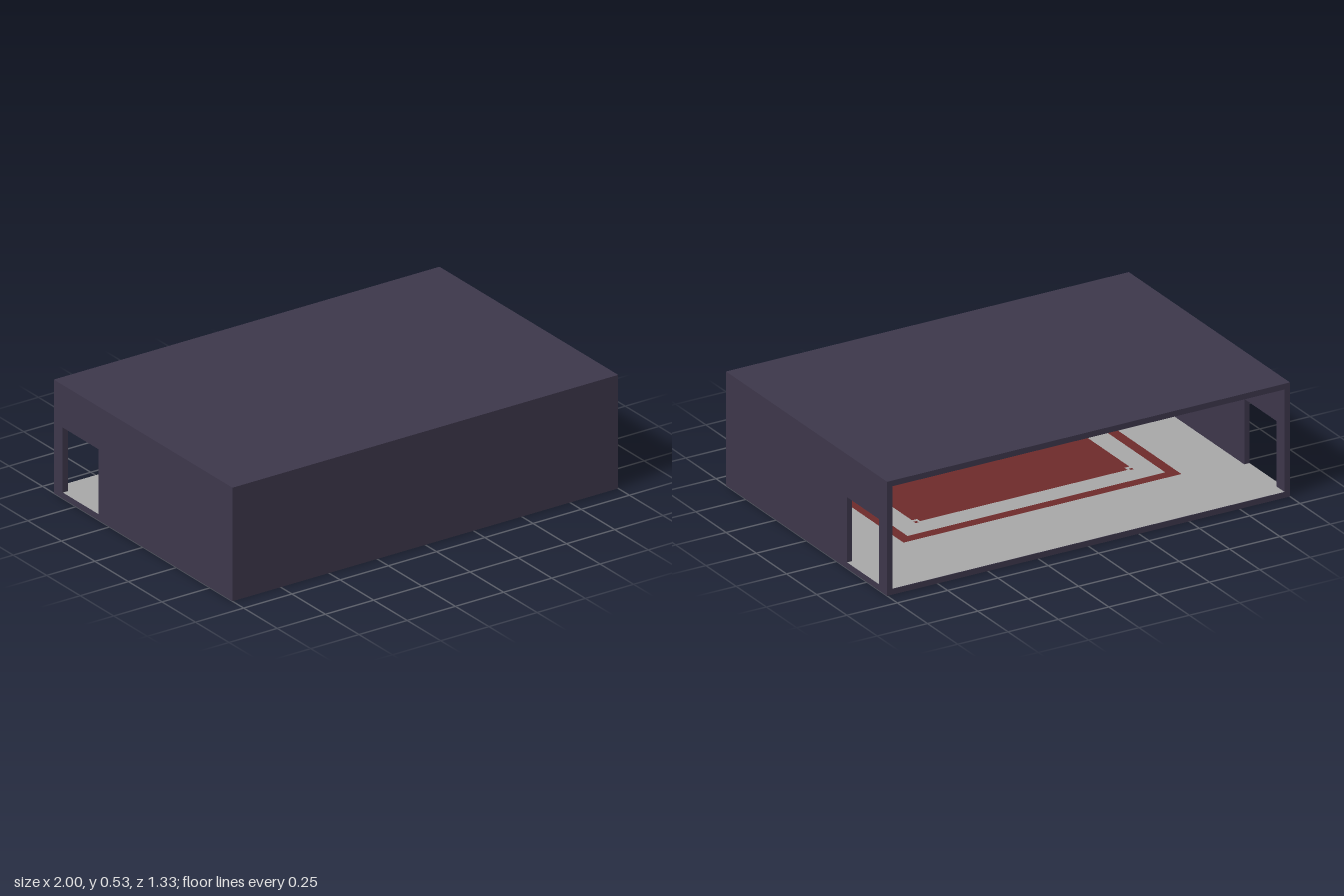
import * as THREE from 'three';

const W = 2, D = 1.333, H = 0.533, T = 0.0267; // outer size and wall thickness

function mat(name, color, side = THREE.FrontSide) {
  const m = new THREE.MeshStandardMaterial({ color, side });
  m.name = name;
  return m;
}

// Closed outline, or hole, from opposite corners
function rect(Type, x0, y0, x1, y1) {
  return new Type([[x0, y0], [x1, y0], [x1, y1], [x0, y1]].map(([x, y]) => new THREE.Vector2(x, y)));
}

export function createModel() {
  const room = new THREE.Group();
  room.name = 'room';
  const wall = mat('dark plum', 0x3d374b);
  const grey = mat('floor grey', 0xa8a8a8, THREE.DoubleSide);
  const red = mat('carpet red', 0x6e2b2b, THREE.DoubleSide);

  function add(name, geometry, material, x = 0, y = 0, z = 0) {
    const mesh = new THREE.Mesh(geometry, material);
    mesh.name = name;
    mesh.position.set(x, y, z);
    room.add(mesh);
    return mesh;
  }
  // Flat sheet lying on the floor; shape y points to the back
  const sheet = (name, shapes, material, y) =>
    add(name, new THREE.ShapeGeometry(shapes).rotateX(-Math.PI / 2), material, 0, y);

  // Shell: slab, roof and front wall; the back stays open
  add('floorSlab', new THREE.BoxGeometry(W, T, D), wall, 0, T / 2);
  add('roof', new THREE.BoxGeometry(W, T, D), wall, 0, H - T / 2);
  add('frontWall', new THREE.BoxGeometry(W - 2 * T, H - 2 * T, T), wall, 0, H / 2, D / 2 - T / 2);

  // Side walls, each with a doorway near the back
  for (const side of [1, -1]) {
    const shape = rect(THREE.Shape, -D / 2, T, D / 2, H - T);
    shape.holes.push(rect(THREE.Path, 0.333, T + 0.0005, 0.6, 0.333));
    const geo = new THREE.ExtrudeGeometry(shape, { depth: T, bevelEnabled: false });
    geo.translate(0, 0, -T / 2).rotateY(Math.PI / 2);
    add(side > 0 ? 'leftWall' : 'rightWall', geo, wall, side * (W / 2 - T / 2));
  }

  // Pale floor covering, running through the doorways
  sheet('floorCovering', rect(THREE.Shape, -0.999, 0.001 - D / 2, 0.999, D / 2 - 0.001), grey, T + 0.001);

  // Carpet: outer border band
  const back = 0.285, front = -0.42, band = 0.05;
  const border = rect(THREE.Shape, -0.69, front, 0.69, back);
  border.holes.push(rect(THREE.Path, -0.69 + band, front + band, 0.69 - band, back - band));
  sheet('carpetBorder', border, red, T + 0.003);

  // Carpet: centre field with notched corners and a dot in each notch
  const x = 0.54, n = 0.025, b = back - 0.155, f = front + 0.155;
  const field = [rect(THREE.Shape, -x + n, f, x - n, b), rect(THREE.Shape, -x, f + n, -x + n, b - n),
    rect(THREE.Shape, x - n, f + n, x, b - n)];
  sheet('carpetField', field, red, T + 0.003);
  const dots = [];
  for (const sx of [-1, 1]) {
    for (const y of [f, b]) {
      const cx = sx * (x - 0.006), r = 0.008;
      dots.push(rect(THREE.Shape, cx - r, y - r, cx + r, y + r));
    }
  }
  sheet('carpetCornerDots', dots, red, T + 0.003);

  return room;
}
